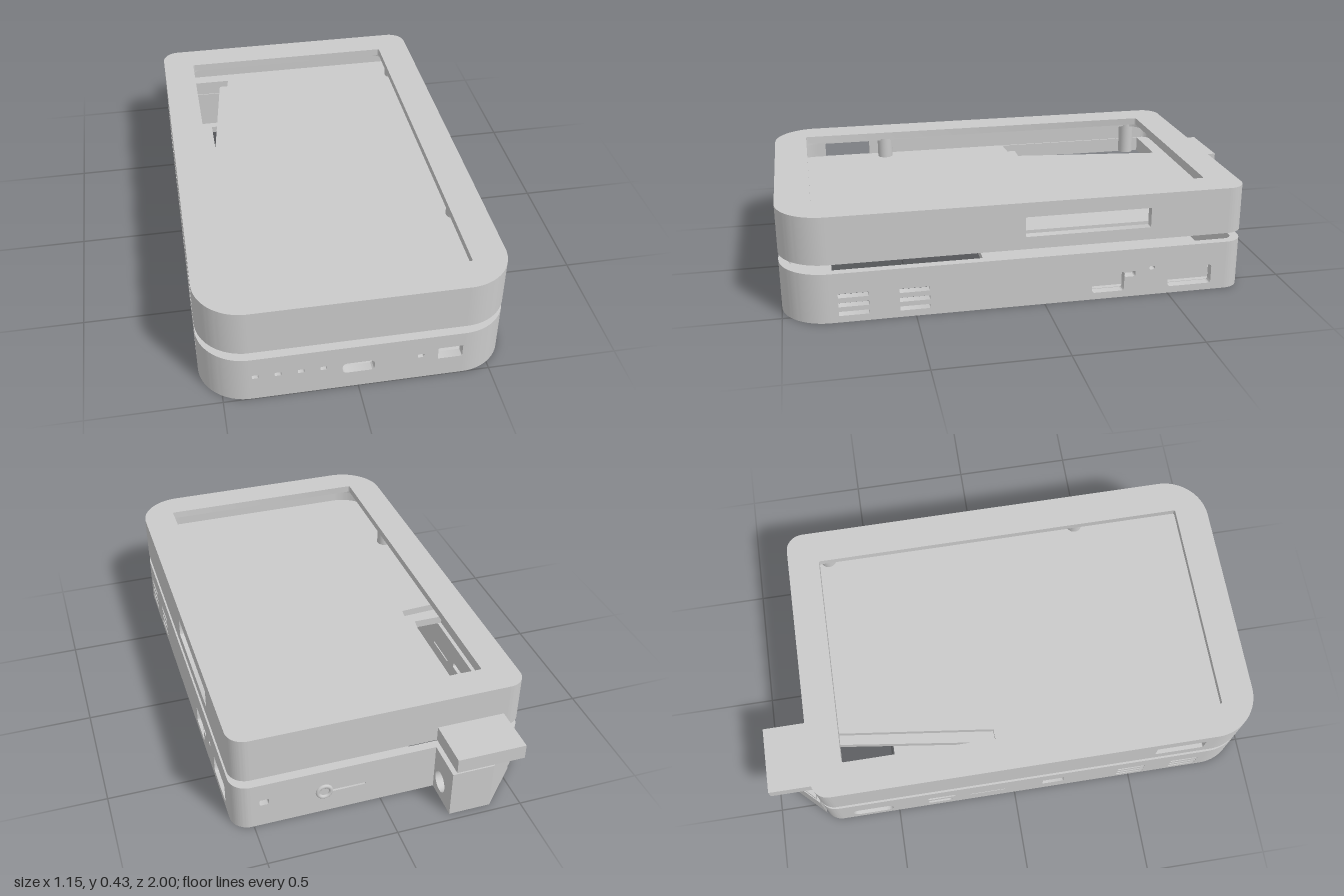
import * as THREE from 'three';
import { toCreasedNormals } from 'three/addons/utils/BufferGeometryUtils.js';

const W = 0.577, ZF = 1, ZB = -0.81, T = 0.035; // half width, front, back, wall thickness
const RF = 0.18, RB = 0.07;                     // front and back corner radii
const grey = new THREE.MeshStandardMaterial({ color: 0xcacaca });
grey.name = 'plain grey';

function add(parent, name, geo) {
  const m = new THREE.Mesh(geo, grey);
  m.name = name;
  parent.add(m);
}

function box(parent, name, x0, x1, y0, y1, z0, z1) {
  const g = new THREE.BoxGeometry(x1 - x0, y1 - y0, z1 - z0);
  add(parent, name, g.translate((x0 + x1) / 2, (y0 + y1) / 2, (z0 + z1) / 2));
}

function rounded(u0, u1, v0, v1, rLow, rHigh = rLow, Kind = THREE.Path) {
  const p = new Kind(), H = Math.PI / 2;
  p.moveTo(u0 + rLow, v0);
  p.absarc(u1 - rLow, v0 + rLow, rLow, -H, 0);
  p.absarc(u1 - rHigh, v1 - rHigh, rHigh, 0, H);
  p.absarc(u0 + rHigh, v1 - rHigh, rHigh, H, 2 * H);
  p.absarc(u0 + rLow, v0 + rLow, rLow, 2 * H, 3 * H);
  return p;
}

// Paths for horizontal plates: shape y is -z
const planRect = (x0, x1, z0, z1, r = 0.01) => rounded(x0, x1, -z1, -z0, r);
const planPoly = (pts, Kind = THREE.Path) => new Kind(pts.map(([x, z]) => new THREE.Vector2(x, -z)));

function extrude(shape, depth) {
  const g = new THREE.ExtrudeGeometry(shape, { depth, bevelEnabled: false, curveSegments: 14 });
  return toCreasedNormals(g, 0.6);
}

function slab(parent, name, shape, y0, y1) {
  add(parent, name, extrude(shape, y1 - y0).rotateX(-Math.PI / 2).translate(0, y0, 0));
}

// Plate that fits inside the walls
function plate(parent, name, y0, y1, holes = []) {
  const s = rounded(-W + T, W - T, -ZF + T, -ZB - T, RF - T, RB - T, THREE.Shape);
  s.holes.push(...holes);
  slab(parent, name, s, y0, y1);
}

// Straight wall with openings [u0, u1, v0, v1, radius]
function wall(parent, side, y0, y1, holes) {
  const onX = side === 'left' || side === 'right';
  const [a, b] = onX ? [ZB + RB, ZF - RF] : side === 'front' ? [-W + RF, W - RF] : [-W + RB, W - RB];
  const s = new THREE.Shape([[a, y0], [b, y0], [b, y1], [a, y1]].map(p => new THREE.Vector2(...p)));
  s.holes.push(...holes.map(h => rounded(...h)));
  const g = extrude(s, T);
  if (onX) g.rotateY(-Math.PI / 2).translate(side === 'left' ? W : -W + T, 0, 0);
  else g.translate(0, 0, side === 'front' ? ZF - T : ZB);
  add(parent, side + 'Wall', g);
}

function walls(parent, y0, y1, holes) {
  for (const side of ['front', 'back', 'left', 'right']) wall(parent, side, y0, y1, holes[side] || []);
  // Curved corners
  const H = Math.PI / 2;
  [[1, 1, 0], [-1, 1, 1], [-1, -1, 2], [1, -1, 3]].forEach(([sx, sy, q]) => {
    const r = sy > 0 ? RB : RF;
    const cx = sx * (W - r), cy = sy > 0 ? -ZB - r : -ZF + r;
    const s = new THREE.Shape();
    s.absarc(cx, cy, r, q * H, (q + 1) * H, false);
    s.absarc(cx, cy, r - T, (q + 1) * H, q * H, true);
    slab(parent, 'cornerWall', s, y0, y1);
  });
}

function post(parent, name, x, z, r, y0, y1) {
  add(parent, name, new THREE.CylinderGeometry(r, r, y1 - y0, 24).translate(x, (y0 + y1) / 2, z));
}

// Open tray
function lowerCase() {
  const g = new THREE.Group();
  g.name = 'lowerCase';
  const vents = [];
  for (const z of [0.445, 0.675]) for (const y of [0.027, 0.063, 0.1]) vents.push([z, z + 0.115, y, y + 0.017, 0.002]);
  const leftPorts = [[-0.32, -0.19, 0.028, 0.108, 0.012], [-0.365, -0.321, 0.085, 0.108, 0.006],
    [-0.68, -0.5, 0.028, 0.108, 0.012], [-0.445, -0.422, 0.108, 0.122, 0.005]];
  walls(g, 0, 0.2, {
    front: [
      ...[-0.38, -0.297, -0.213, -0.13, 0.232].map(x => [x - 0.012, x + 0.012, 0.104, 0.12, 0.004]),
      [-0.06, 0.06, 0.073, 0.12, 0.018], [0.297, 0.39, 0.085, 0.138, 0.003]],
    back: [[0.44, 0.475, 0.1, 0.125, 0.005], [0.06, 0.2, 0.092, 0.1, 0.003]],
    left: [...vents, ...leftPorts],
    right: [...vents, [0.12, 0.21, 0.07, 0.125, 0.003], [-0.69, -0.52, 0.035, 0.105, 0.03],
      [-0.37, -0.27, 0.04, 0.075, 0.008], [-0.37, -0.25, 0.095, 0.12, 0.008], [-0.19, -0.04, 0.08, 0.088, 0.003]]
  });
  // Sockets behind the left ports
  for (const [z0, z1, y0, y1] of leftPorts) {
    box(g, 'portSocket', W - T - 0.03, W - T - 0.02, y0 - 0.008, y1 + 0.008, z0 - 0.008, z1 + 0.008);
  }
  // Bottom: battery recess, slot by the hinge, large front opening, screw holes
  const opening = () => planRect(-0.538, 0.538, 0.17, 0.84, 0.004);
  const screws = [[1, -0.74], [-1, -0.74], [1, 0.88], [-1, 0.88]].map(([s, z]) => {
    const p = new THREE.Path();
    p.absarc(s * (z > 0 ? 0.47 : 0.49), -z, 0.012, 0, Math.PI * 2);
    return p;
  });
  const recess = planPoly([[0.33, -0.66], [0.33, 0.15], [-0.34, 0.15], [-0.34, -0.2], [-0.375, -0.2], [-0.375, -0.74],
    [-0.2, -0.74], [-0.2, -0.66]]);
  plate(g, 'bottomPlate', 0, 0.016, [opening(), recess, ...screws]);
  plate(g, 'recessFloor', 0.016, 0.03, [opening(), planPoly([[-0.375, -0.74], [-0.2, -0.74], [-0.2, -0.38],
    [-0.3, -0.38], [-0.3, -0.49], [-0.375, -0.49]])]);
  // Shelf behind the front edge
  slab(g, 'frontShelf', planPoly([[-0.46, 0.8], [0.538, 0.8], [0.538, 0.84], [0.45, 0.945], [-0.46, 0.945]], THREE.Shape), 0.03, 0.045);
  // Corner screw post with its collar
  post(g, 'screwPost', -0.43, 0.83, 0.032, 0.02, 0.11);
  post(g, 'screwPostCollar', -0.43, 0.83, 0.042, 0.05, 0.065);
  // Round button on the back
  add(g, 'backButton', new THREE.TorusGeometry(0.026, 0.008, 10, 28).translate(0.225, 0.1, ZB));
  return g;
}

function upperCase() {
  const g = new THREE.Group();
  g.name = 'upperCase';
  walls(g, 0.237, 0.425, {
    left: [[-0.42, 0.075, 0.287, 0.367, 0.003]],
    right: [[0.58, 0.78, 0.29, 0.365, 0.003]]
  });
  plate(g, 'screenBezel', 0.395, 0.425, [planRect(-0.445, 0.44, -0.68, 0.865, 0.008)]);
  plate(g, 'bezelStep', 0.38, 0.395, [planRect(-0.475, 0.475, -0.71, 0.9, 0.09)]);
  // Floor with a stepped wedge slot on one side
  plate(g, 'floorTop', 0.27, 0.3, [planPoly([[-0.535, -0.72], [-0.285, -0.72], [-0.37, -0.06], [-0.535, -0.05]])]);
  plate(g, 'floorBottom', 0.237, 0.27, [planPoly([[-0.535, -0.72], [-0.325, -0.72], [-0.41, -0.11], [-0.535, -0.11]])]);
  for (const [x, z] of [[-0.5, 0.51], [-0.5, -0.65], [0.5, 0.44], [0.5, -0.65]]) post(g, 'bezelPost', x, z, 0.033, 0.25, 0.4);
  return g;
}

function hinge() {
  const g = new THREE.Group();
  g.name = 'hinge';
  // Block with one slanted face
  slab(g, 'hingeBlock', planPoly([[-0.54, ZB], [-0.25, ZB], [-0.25, -0.97], [-0.385, -0.97]], THREE.Shape), 0, 0.2);
  // Socketed end of the block
  const s = new THREE.Shape([[-0.97, 0], [ZB, 0], [ZB, 0.2], [-0.97, 0.2]].map(p => new THREE.Vector2(...p)));
  const hole = new THREE.Path();
  hole.absarc(-0.867, 0.073, 0.043, 0, Math.PI * 2);
  s.holes.push(hole);
  add(g, 'hingeSocket', extrude(s, 0.03).rotateY(-Math.PI / 2).translate(-0.22, 0, 0));
  // Washer, pin and cap
  slab(g, 'hingeWasher', planPoly([[-0.525, -0.82], [-0.26, -0.82], [-0.26, -0.95], [-0.395, -0.95]], THREE.Shape), 0.2, 0.225);
  post(g, 'hingePin', -0.36, -0.885, 0.048, 0.2, 0.24);
  box(g, 'hingeCap', -0.49, -0.22, 0.238, 0.298, -1, ZB);
  return g;
}

export function createModel() {
  const model = new THREE.Group();
  model.name = 'handheldCase';
  model.add(lowerCase(), upperCase(), hinge());
  return model;
}
